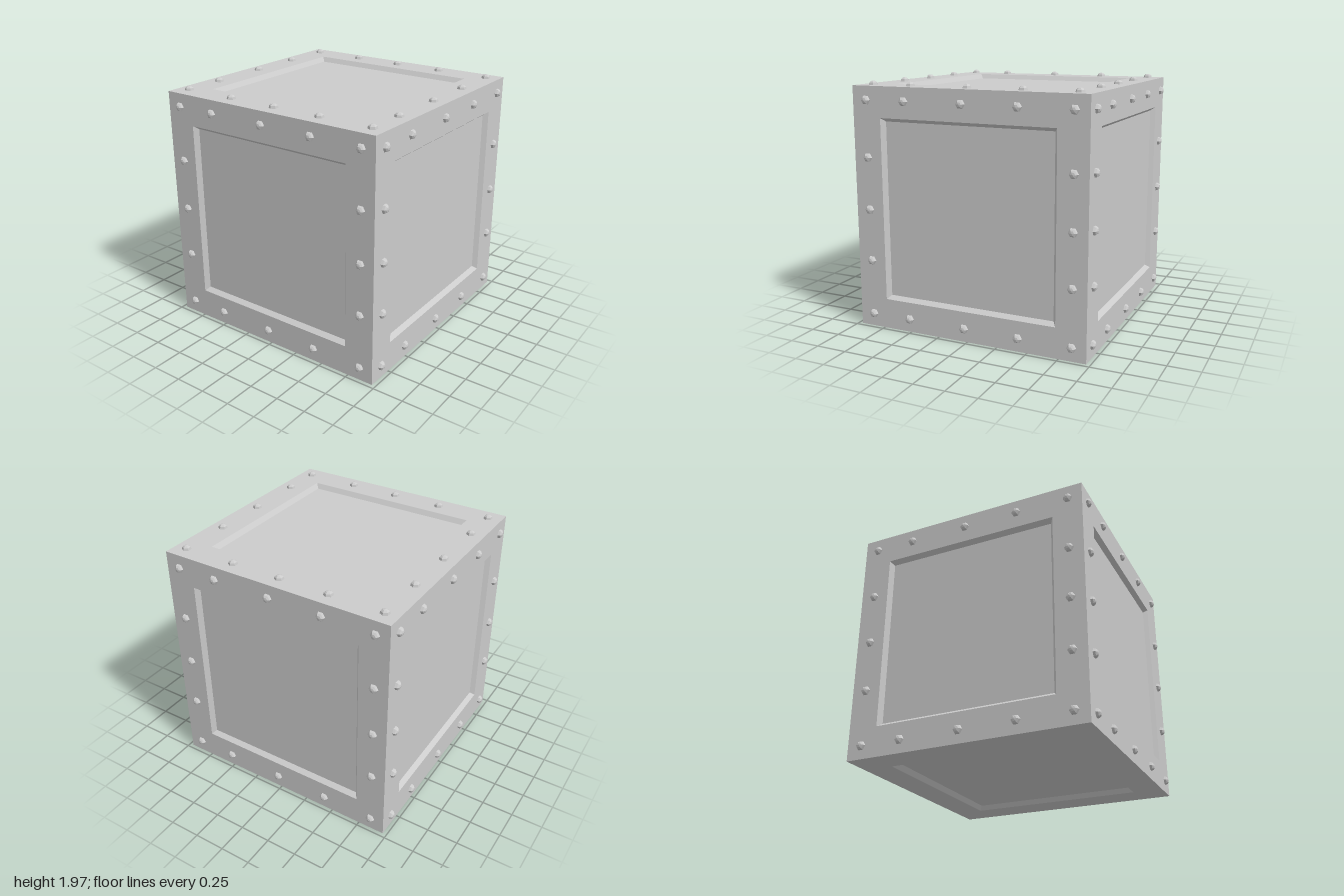
import * as THREE from 'three';

const HALF = 0.967;    // half the cube's side
const OUTER = 0.725;   // half size of the recess at the surface
const INNER = 0.697;   // half size of the recess floor
const DEPTH = 0.038;   // recess depth

const material = new THREE.MeshStandardMaterial({ color: 0xcccccc, flatShading: true });

function square(PathType, h) {
  return new PathType([[-h, -h], [h, -h], [h, h], [-h, h]].map(([x, y]) => new THREE.Vector2(x, y)));
}

// Flat border around the recess
const frameShape = square(THREE.Shape, HALF);
frameShape.holes.push(square(THREE.Path, OUTER));
const frameGeometry = new THREE.ShapeGeometry(frameShape);

// Four sloping recess walls, mirrored so that they face inward
const bevelGeometry = new THREE.CylinderGeometry(OUTER * Math.SQRT2, INNER * Math.SQRT2, DEPTH, 4, 1, true)
  .rotateY(Math.PI / 4)
  .rotateX(Math.PI / 2)
  .scale(-1, 1, 1);

const panelGeometry = new THREE.PlaneGeometry(INNER * 2, INNER * 2);

// Six-sided domed rivet with corners pointing left and right
const rivetProfile = [[0.037, 0], [0.032, 0.018], [0.019, 0.029], [0, 0.033]]
  .map(([r, y]) => new THREE.Vector2(r, y));
const rivetGeometry = new THREE.LatheGeometry(rivetProfile, 6)
  .rotateY(Math.PI / 2)
  .rotateX(Math.PI / 2);

// Slightly uneven rivet spacing along the rows and the columns
const rowX = [-0.848, -0.513, -0.028, 0.423, 0.852];
const columnY = [-0.862, -0.417, -0.002, 0.413, 0.858];

function addMesh(parent, name, geometry, x, y, z) {
  const mesh = new THREE.Mesh(geometry, material);
  mesh.name = name;
  mesh.position.set(x, y, z);
  parent.add(mesh);
}

// One side of the crate, built facing +z
function createSide(name, hasRivets) {
  const side = new THREE.Group();
  side.name = name;
  addMesh(side, 'frame', frameGeometry, 0, 0, HALF);
  addMesh(side, 'recessWalls', bevelGeometry, 0, 0, HALF - DEPTH / 2);
  addMesh(side, 'panel', panelGeometry, 0, 0, HALF - DEPTH);
  if (hasRivets) {
    rowX.forEach((x, i) => columnY.forEach((y, j) => {
      if (i % 4 === 0 || j % 4 === 0) addMesh(side, 'rivet', rivetGeometry, x, y, HALF);
    }));
  }
  return side;
}

export function createModel() {
  const model = new THREE.Group();
  model.name = 'crate';
  const q = Math.PI / 2;

  // name, pitch, turn, rivets (the underside has none)
  const sides = [
    ['frontSide', 0, 0, true],
    ['leftSide', 0, q, true],
    ['backSide', 0, 2 * q, true],
    ['rightSide', 0, -q, true],
    ['topSide', -q, q, true],
    ['bottomSide', q, 0, false],
  ];
  for (const [name, pitch, turn, rivets] of sides) {
    const side = createSide(name, rivets);
    side.rotation.set(pitch, turn, 0, 'YXZ');
    side.position.y = HALF;
    model.add(side);
  }
  return model;
}
